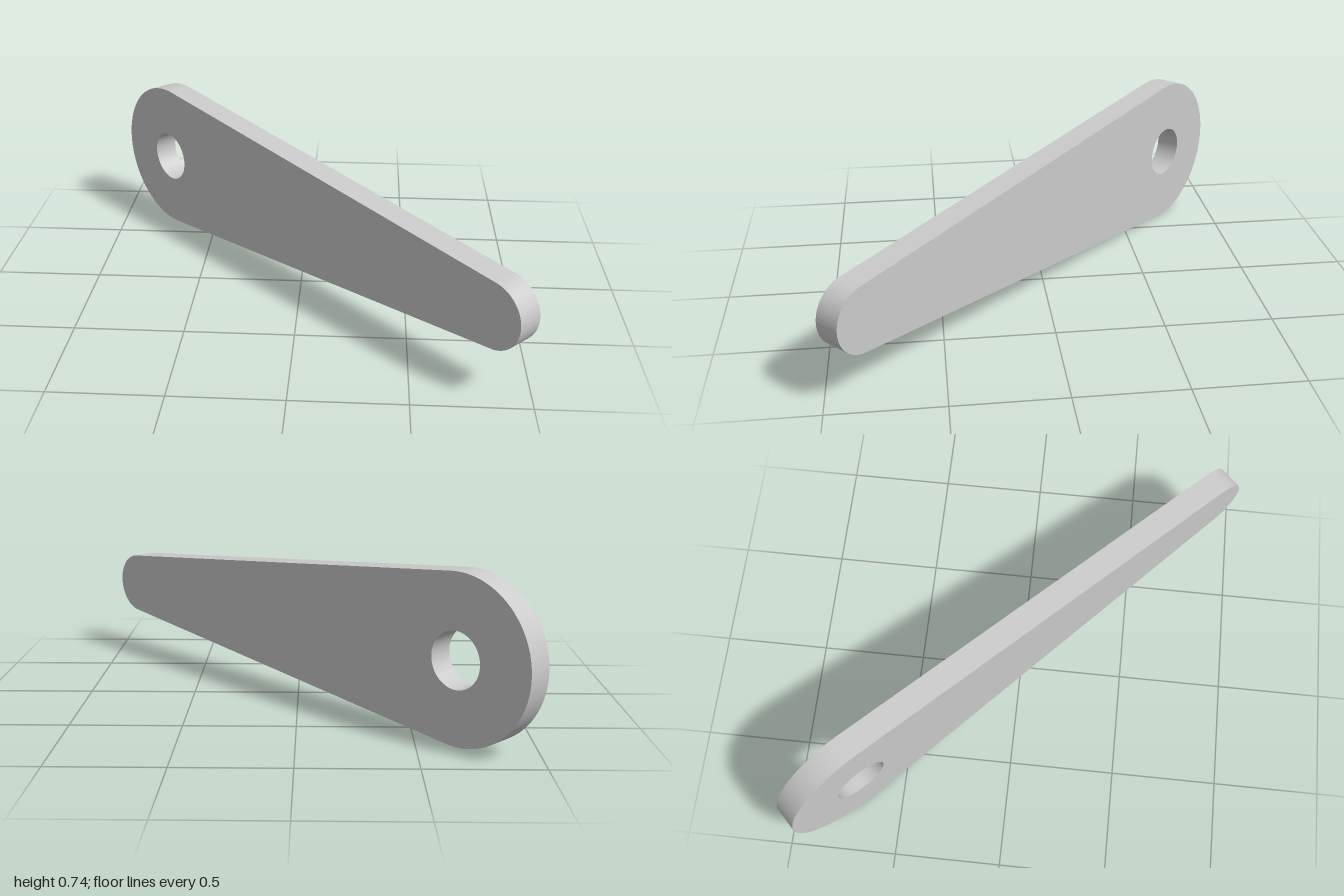
import * as THREE from 'three';
import { toCreasedNormals } from 'three/addons/utils/BufferGeometryUtils.js';

export function createModel() {
  const group = new THREE.Group();
  group.name = 'lever';

  const bigR = 0.37, smallR = 0.152, holeR = 0.125, thickness = 0.12;
  const halfLength = 1.354;
  const bigX = -halfLength + bigR;
  const smallX = halfLength - smallR;

  // Two round ends joined by their common tangents
  const a = Math.acos((bigR - smallR) / (smallX - bigX));
  const outline = new THREE.Shape();
  outline.absarc(bigX, 0, bigR, a, 2 * Math.PI - a, false);
  outline.absarc(smallX, 0, smallR, -a, a, false);
  outline.closePath();

  // Pivot hole, concentric with the large end
  const hole = new THREE.Path();
  hole.absarc(bigX, 0, holeR, 0, 2 * Math.PI, true);
  outline.holes.push(hole);

  const geometry = new THREE.ExtrudeGeometry(outline, {
    depth: thickness, bevelEnabled: false, curveSegments: 32,
  });
  geometry.translate(0, 0, -thickness / 2);

  const arm = new THREE.Mesh(
    toCreasedNormals(geometry, Math.PI / 6),
    new THREE.MeshStandardMaterial({ color: 0xcccccc })
  );
  arm.name = 'taperedArm';
  // Upright plate set diagonally, small end at front left
  arm.position.y = bigR;
  arm.rotation.y = -Math.PI / 4;
  group.add(arm);

  return group;
}
